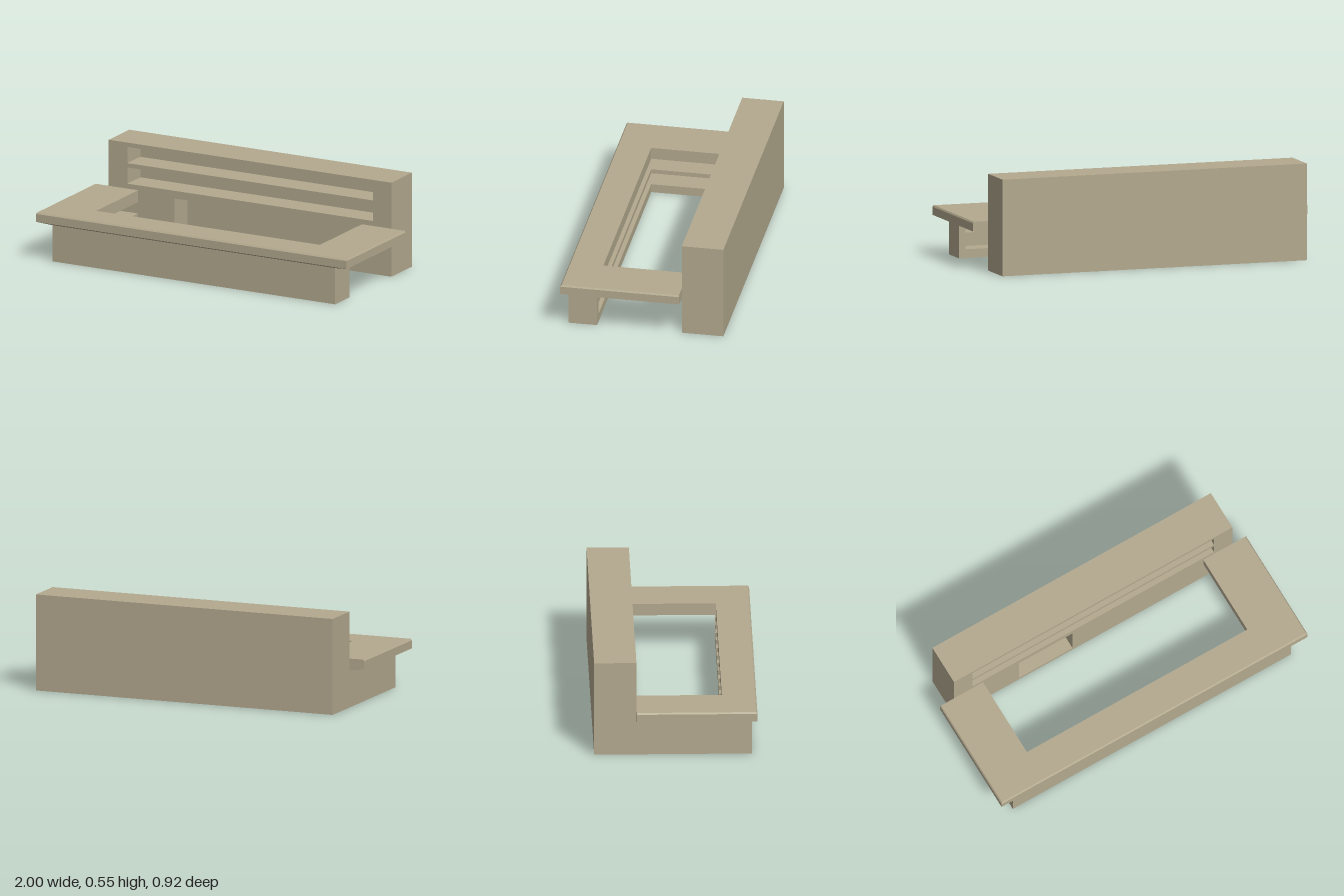
import * as THREE from 'three';

const material = new THREE.MeshStandardMaterial({ color: 0xb3a98e, flatShading: true });

function addMesh(parent, name, geometry) {
  const mesh = new THREE.Mesh(geometry, material);
  mesh.name = name;
  parent.add(mesh);
  return mesh;
}

// Flat plate from a plan outline of [x, z] points, between two heights
function slab(outline, y0, y1, steps = 1) {
  const shape = new THREE.Shape(outline.map(([x, z]) => new THREE.Vector2(x, -z)));
  const geometry = new THREE.ExtrudeGeometry(shape, { depth: y1 - y0, steps, bevelEnabled: false });
  return geometry.rotateX(-Math.PI / 2).translate(0, y0, 0);
}

function rectangle(PathClass, x0, y0, x1, y1) {
  return new PathClass([[x0, y0], [x1, y0], [x1, y1], [x0, y1]].map(([x, y]) => new THREE.Vector2(x, y)));
}

// Tall back cabinet: a front with two long slots and a low niche, closed by a back
function createCabinet() {
  const cabinet = new THREE.Group();
  cabinet.name = 'backCabinet';
  const front = -0.22, back = -0.458, depth = 0.15, slotTops = [0.525, 0.405];

  const face = rectangle(THREE.Shape, -0.91, 0, 0.91, 0.55);
  for (const top of slotTops) face.holes.push(rectangle(THREE.Path, -0.79, top - 0.095, 0.79, top));
  face.holes.push(rectangle(THREE.Path, -0.485, 0.025, -0.135, 0.265));
  const geometry = new THREE.ExtrudeGeometry(face, { depth, bevelEnabled: false });

  // Slot ceilings drop slightly toward the back
  const p = geometry.attributes.position;
  for (let i = 0; i < p.count; i++) {
    const isCeiling = slotTops.some((top) => Math.abs(p.getY(i) - top) < 1e-4);
    if (isCeiling && p.getZ(i) < 0.01) p.setY(i, p.getY(i) - 0.01);
  }
  geometry.computeVertexNormals();
  addMesh(cabinet, 'cabinetFront', geometry.translate(0, 0, front - depth));

  const backDepth = front - depth - back;
  addMesh(cabinet, 'cabinetBack', new THREE.BoxGeometry(1.82, 0.55, backDepth)
    .translate(0, 0.275, back + backDepth / 2));
  return cabinet;
}

// L-shaped counter base, open on the inside with two shelf levels
function createBase() {
  const base = new THREE.Group();
  base.name = 'counterBase';
  const wall = [[0.91, 0.265], [0.91, 0.43], [-0.91, 0.43], [-0.91, -0.22],
    [-0.87, -0.22], [-0.87, 0.39], [0.87, 0.39], [0.87, 0.265]];
  const shelf = [[0.87, 0.265], [0.87, 0.39], [-0.87, 0.39], [-0.87, -0.22],
    [-0.72, -0.22], [-0.72, 0.265]];
  addMesh(base, 'outerWall', slab(wall, 0, 0.212));
  addMesh(base, 'plinthShelf', slab(shelf, 0, 0.05));
  addMesh(base, 'middleShelf', slab(shelf, 0.12, 0.145));
  return base;
}

// U-shaped top: each level has its own height, half width and front edge
function createCountertop() {
  const levels = [[0.212, 0.91, 0.43], [0.226, 1, 0.459], [0.272, 1, 0.459], [0.281, 0.994, 0.452]];
  const outline = [[-1, -0.22], [-1, 0.459], [1, 0.459], [1, -0.22],
    [0.72, -0.22], [0.72, 0.265], [-0.72, 0.265], [-0.72, -0.22]];
  const geometry = slab(outline, 0, 3, 3);
  const p = geometry.attributes.position;
  for (let i = 0; i < p.count; i++) {
    const [y, halfWidth, frontEdge] = levels[Math.round(p.getY(i))];
    if (Math.abs(p.getX(i)) > 0.9) p.setX(i, Math.sign(p.getX(i)) * halfWidth);
    if (p.getZ(i) > 0.4) p.setZ(i, frontEdge);
    p.setY(i, y);
  }
  geometry.computeVertexNormals();
  return geometry;
}

export function createModel() {
  const model = new THREE.Group();
  model.name = 'serviceCounter';
  model.add(createCabinet(), createBase());
  addMesh(model, 'countertop', createCountertop());
  return model;
}
